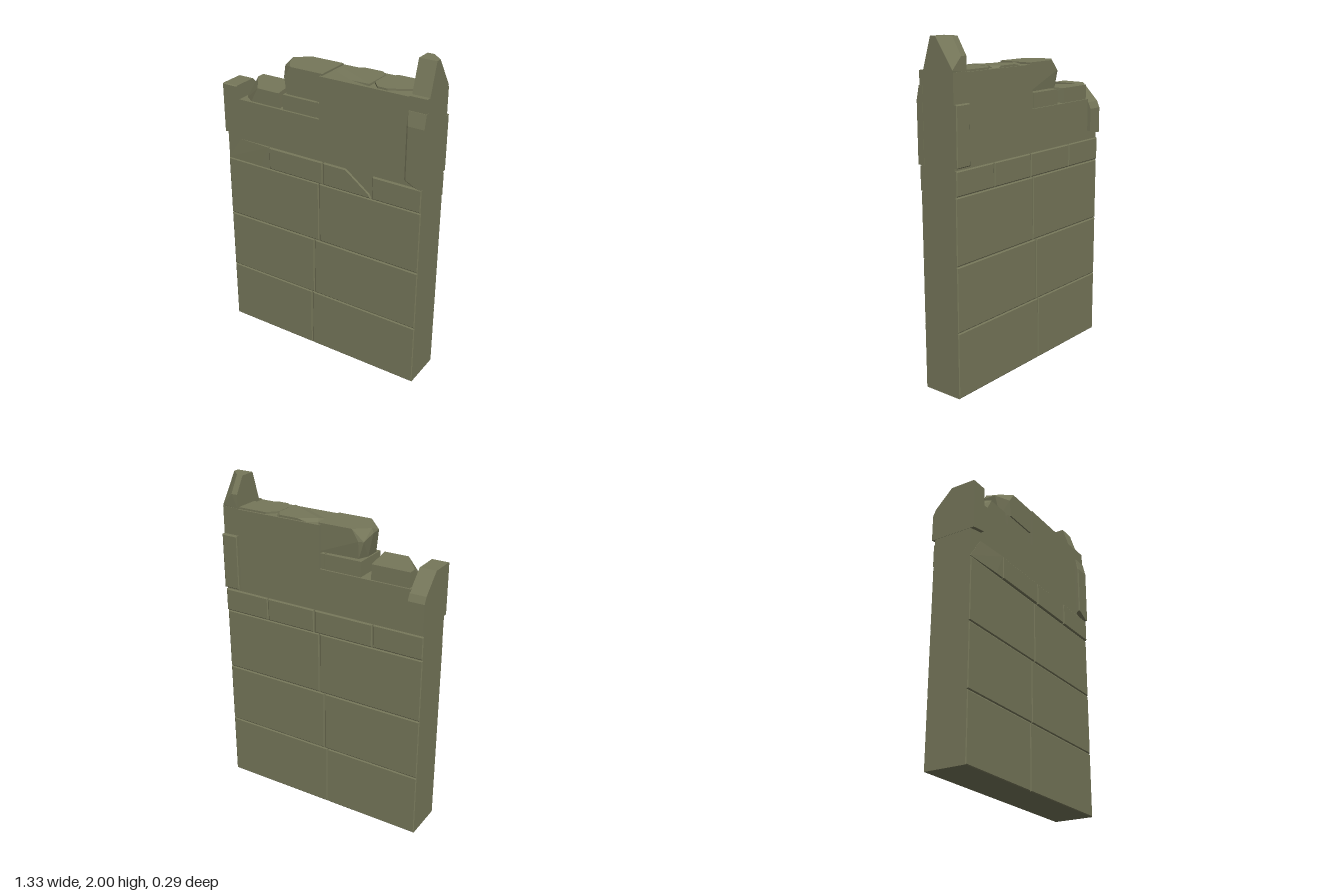
import * as THREE from 'three';
import { ConvexGeometry } from 'three/addons/geometries/ConvexGeometry.js';

export function createModel() {
  const wall = new THREE.Group();
  wall.name = 'ruinedWall';
  const stone = new THREE.MeshStandardMaterial({ color: 0x76775a });
  stone.name = 'mossy stone';

  const add = (name, geometry) => {
    const mesh = new THREE.Mesh(geometry, stone);
    mesh.name = name;
    wall.add(mesh);
    return mesh;
  };
  // Faceted rock: the convex hull of a few corner points
  const rock = (name, points) =>
    add(name, new ConvexGeometry(points.map((p) => new THREE.Vector3(...p))));
  // The same height for a ring of [x, z] corners
  const ring = (corners, y) => corners.map(([x, z]) => [x, y, z]);

  // Stepped core of the wall
  const HALF = 0.121;
  const outline = [[-0.665, 0], [0.665, 0], [0.665, 1.82], [0.56, 1.82], [0.56, 1.815],
    [0, 1.815], [0, 1.56], [-0.57, 1.56], [-0.57, 1.48], [-0.665, 1.48]];
  const core = new THREE.ExtrudeGeometry(
    new THREE.Shape(outline.map((p) => new THREE.Vector2(...p))),
    { depth: HALF * 2, bevelEnabled: false });
  core.translate(0, 0, -HALF);
  add('core', core);

  // Facing brick: shallow slab with a narrow chamfer, on one side of the core
  function facing(name, corners, depth, side) {
    const cx = corners.reduce((s, p) => s + p[0], 0) / corners.length;
    const cy = corners.reduce((s, p) => s + p[1], 0) / corners.length;
    const pull = (v, c) => v + Math.sign(c - v) * 0.005;
    const points = [];
    for (const [x, y] of corners) {
      points.push([x, y, side * 0.1], [x, y, side * (depth - 0.004)]);
      points.push([pull(x, cx), pull(y, cy), side * depth]);
    }
    rock(name, points);
  }
  const rect = (x0, x1, y0, y1) => [[x0, y0], [x1, y0], [x1, y1], [x0, y1]];

  for (const side of [1, -1]) {
    const face = side > 0 ? 'front' : 'back';
    // Three courses of large blocks
    [[0, 0.39, -0.055], [0.395, 0.773, -0.035], [0.779, 1.16, 0]].forEach(([y0, y1, split]) => {
      facing(face + 'BlockRight', rect(-0.665, split - 0.003, y0, y1), 0.129, side);
      facing(face + 'BlockLeft', rect(split + 0.003, 0.665, y0, y1), 0.129, side);
    });
    // Course of small bricks
    facing(face + 'Brick', rect(-0.35, 0.027, 1.167, 1.305), 0.135, side);
    facing(face + 'Brick', rect(0.36, 0.665, 1.167, 1.305), 0.135, side);
    if (side > 0) {
      facing('frontBrokenBrick', [[0.035, 1.167], [0.35, 1.167], [0.34, 1.185], [0.18, 1.305], [0.035, 1.305]], 0.135, 1);
      rock('frontWornBrick', [
        ...ring([[-0.665, 0.1], [-0.665, 0.124], [-0.42, 0.134], [-0.355, 0.134], [-0.355, 0.1]], 1.167),
        ...ring([[-0.57, 0.1], [-0.57, 0.122], [-0.355, 0.134], [-0.355, 0.1]], 1.305)]);
    } else {
      facing('backBrick', rect(0.035, 0.355, 1.167, 1.305), 0.135, -1);
      facing('backBrick', rect(-0.665, -0.355, 1.167, 1.305), 0.132, -1);
    }
  }

  // Corner stone on the low end, with a broken back edge
  const profile = [[0.143, 1.34], [0.143, 1.645], [0.135, 1.65], [-0.015, 1.65],
    [-0.125, 1.54], [-0.143, 1.5], [-0.143, 1.34]];
  rock('lowCornerStone', [
    ...profile.map(([z, y]) => [-0.667, y, z]),
    ...profile.map(([z, y]) => [-0.567, y + (y < 1.4 ? 0.02 : 0), z])]);

  // Corner stones on the tall end
  rock('frontTallCornerStone', [
    ...ring([[0.56, 0.1], [0.667, 0.1], [0.667, 0.143], [0.645, 0.143]], 1.31),
    ...ring([[0.56, 0.1], [0.56, 0.138], [0.57, 0.143]], 1.345),
    ...ring([[0.56, 0.138], [0.57, 0.143], [0.667, 0.143]], 1.66),
    ...ring([[0.56, 0.1], [0.56, 0.125], [0.667, 0.125], [0.667, 0.1]], 1.74)]);
  facing('backTallCornerStone', rect(0.562, 0.667, 1.32, 1.655), 0.143, -1);

  // Pointed stone crowning the tall end
  rock('peakStone', [
    ...ring([[0.56, 0.093], [0.665, 0.093], [0.665, -0.115], [0.56, -0.12]], 1.815),
    [0.56, 1.9, -0.12], [0.6, 1.9, -0.12], [0.665, 1.83, -0.117],
    ...ring([[0.56, 0.035], [0.665, 0.035], [0.665, 0], [0.6, -0.06], [0.56, -0.06]], 2)]);

  // Loose stones on the low step
  rock('lowStepStone', [
    ...ring([[-0.56, -0.11], [-0.325, -0.11], [-0.28, 0.105], [-0.495, 0.105], [-0.56, 0.06]], 1.55),
    ...ring([[-0.56, -0.11], [-0.325, -0.11], [-0.29, 0.105], [-0.44, 0.105], [-0.56, -0.06]], 1.65)]);
  const block = (name, x0, x1, y0, y1) => {
    const corners = [[x0, -0.11], [x1, -0.11], [x1, 0.107], [x0, 0.107]];
    rock(name, [...ring(corners, y0), ...ring(corners, y1)]);
  };
  block('underStone', -0.26, -0.03, 1.55, 1.65);
  block('smallUnderStone', -0.024, 0.01, 1.55, 1.65);

  // Overhanging faceted stone
  rock('overhangStone', [
    ...ring([[-0.24, -0.1], [0.01, -0.11], [0.01, 0.107], [-0.23, 0.107], [-0.265, 0.05], [-0.265, -0.04]], 1.66),
    ...ring([[-0.27, -0.1], [-0.24, -0.11], [-0.245, 0.107]], 1.76),
    ...ring([[-0.295, -0.04], [-0.29, 0.03]], 1.8),
    ...ring([[-0.285, -0.04], [-0.2, -0.11], [0.013, -0.11], [0.013, 0.107], [-0.2, 0.107], [-0.25, 0.04]], 1.826)]);

  // Worn stones bedded in the top of the wall
  rock('topStone', [
    ...ring([[0.02, -0.11], [0.31, -0.11], [0.31, 0.107], [0.02, 0.05]], 1.8),
    ...ring([[0.055, -0.04], [0.15, -0.11], [0.27, -0.11], [0.308, -0.06], [0.308, 0.1]], 1.827)]);
  const slab = [[0.314, -0.05], [0.37, -0.11], [0.558, -0.11], [0.558, 0.03], [0.42, 0.105], [0.36, 0.105], [0.314, 0.05]];
  rock('topStone', [...ring(slab, 1.8), ...ring(slab, 1.826)]);

  return wall;
}
